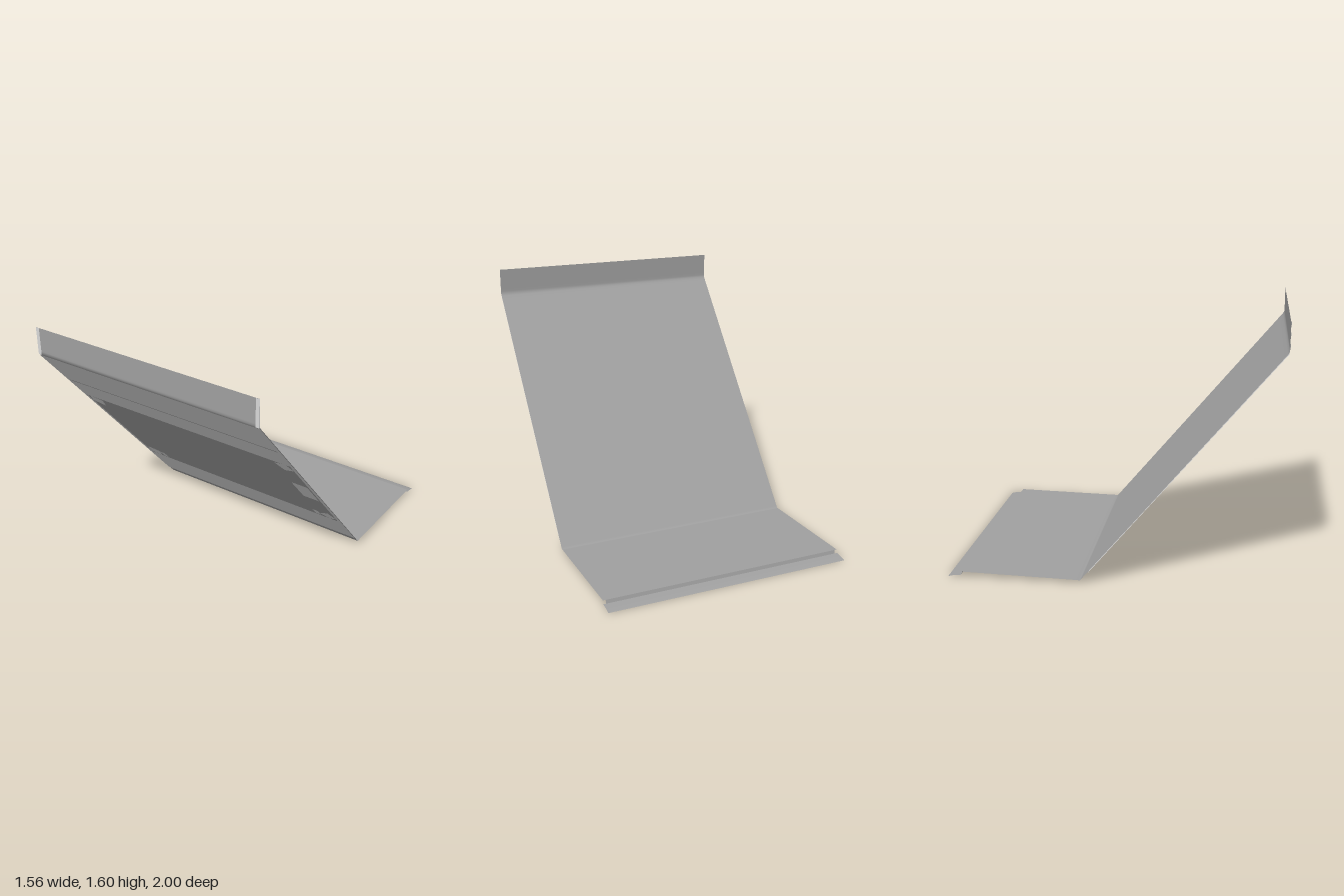
import * as THREE from 'three';

const HALF = 0.782;                      // half width of the sheet
const INNER = 0.758;                     // inner edge of the side margins
const LOW = { z: -0.18, y: 0.025 };      // lower end of the slope
const HIGH = { z: 0.995, y: 1.43 };      // upper end of the slope

function material(name, color) {
  return new THREE.MeshStandardMaterial({ name, color, side: THREE.DoubleSide });
}

// Sweep a [z, y] profile across the width, with smooth bends
function sweep(profile, half) {
  const pos = [], index = [];
  profile.forEach(([z, y], i) => {
    pos.push(-half, y, z, half, y, z);
    if (i) {
      const a = 2 * i - 2;
      index.push(a, a + 1, a + 3, a, a + 3, a + 2);
    }
  });
  const geo = new THREE.BufferGeometry();
  geo.setAttribute('position', new THREE.Float32BufferAttribute(pos, 3));
  geo.setIndex(index);
  geo.computeVertexNormals();
  return geo;
}

export function createModel() {
  const model = new THREE.Group();
  const grey = material('sheetGrey', 0xa0a0a0);
  const pale = material('paleGrey', 0xd8d8d8);

  function add(parent, name, geo, mat) {
    const mesh = new THREE.Mesh(geo, mat);
    mesh.name = name;
    parent.add(mesh);
    return mesh;
  }

  // Bent sheet: upright flange, slope and base
  const at = t => [
    THREE.MathUtils.lerp(LOW.z, HIGH.z, t),
    THREE.MathUtils.lerp(LOW.y, HIGH.y, t),
  ];
  add(model, 'bentSheet', sweep([
    [1, 1.602], [1, 1.47], [1, 1.452], [0.999, 1.438], at(0.995), at(0.98),
    at(0.035), at(0.006), [-0.183, 0.022], [-0.195, 0.022], [-0.21, 0.023], [-0.914, 0.035],
  ], HALF), grey);

  // Rear lip, one step below the base and joined by a narrower web
  add(model, 'lipStep', sweep([[-0.914, 0.035], [-0.92, 0.014]], 0.765), grey);
  add(model, 'rearLip', sweep([
    [-0.92, 0.014], [-0.95, 0.011], [-0.98, 0.006], [-1, 0],
  ], HALF), grey);

  // Pale margins on the flange
  const marginWidth = HALF - INNER;
  const marginX = (HALF + INNER) / 2;
  for (const side of [-1, 1]) {
    const edge = add(model, 'flangeMargin', new THREE.PlaneGeometry(marginWidth, 0.17), pale);
    edge.position.set(side * marginX, 1.517, 1.002);
  }

  // Everything on the underside lies in the plane of the slope
  const underside = new THREE.Group();
  underside.name = 'underside';
  underside.position.set(0, LOW.y, LOW.z);
  const angle = Math.atan2(HIGH.z - LOW.z, HIGH.y - LOW.y);
  underside.rotation.x = angle;
  model.add(underside);

  // Thin pale plate from corners given as [x, height]
  function plate(name, corners) {
    const shape = new THREE.Shape(corners.map(
      ([x, y]) => new THREE.Vector2(x, (y - LOW.y) / Math.cos(angle))));
    add(underside, name, new THREE.ShapeGeometry(shape), pale).position.z = 0.004;
  }
  const rect = (x0, x1, y0, y1) => [[x0, y0], [x1, y0], [x1, y1], [x0, y1]];

  // Pale bands, leaving the grey middle panel and a narrow seam bare
  plate('upperBand', rect(-INNER, INNER, 1.19, 1.43));
  plate('middleBand', rect(-INNER, INNER, 1.025, 1.182));
  plate('lowerBand', rect(-INNER, INNER, 0.077, 0.317));
  plate('sideMargin', rect(-HALF, -INNER, 0.077, 1.43));
  plate('sideMargin', rect(INNER, HALF, 0.077, 1.43));

  // Tape pieces at the corners and small pads
  const tapes = [
    [[-0.757, 0.965], [-0.67, 0.942], [-0.643, 1.012], [-0.735, 1.025]],
    [[0.642, 1.005], [0.68, 0.94], [0.757, 0.97], [0.73, 1.025], [0.69, 1.022]],
    [[-0.757, 0.33], [-0.67, 0.317], [-0.645, 0.385], [-0.737, 0.4]],
    [[0.638, 0.35], [0.7, 0.317], [0.757, 0.345], [0.72, 0.405]],
  ];
  for (const corners of tapes) plate('cornerTape', corners);
  plate('smallPad', rect(-0.643, -0.605, 0.325, 0.38));
  plate('smallPad', rect(0.6, 0.638, 0.325, 0.38));
  plate('sidePad', rect(0.635, 0.745, 0.59, 0.765));

  return model;
}
